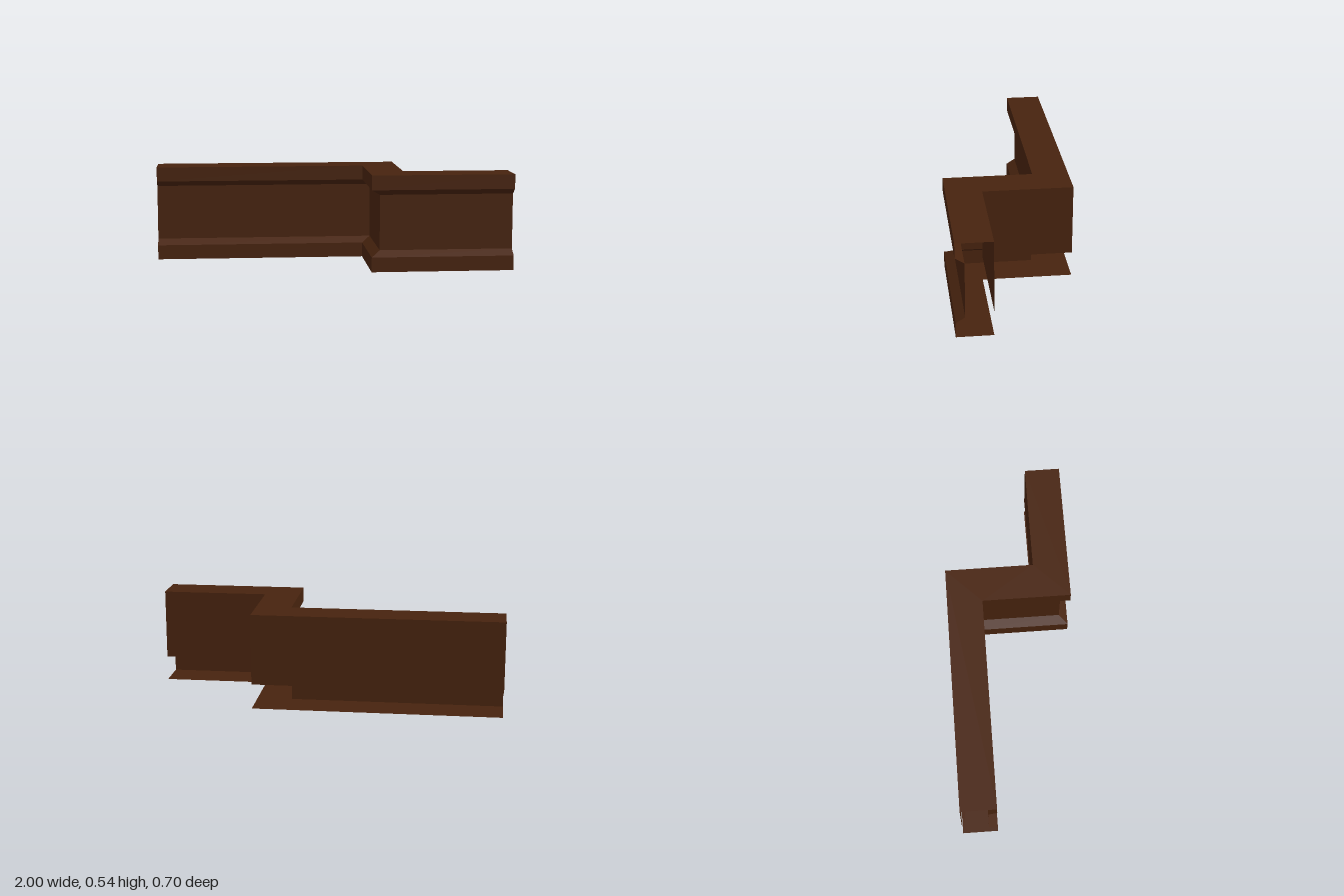
import * as THREE from 'three';

const wood = new THREE.MeshStandardMaterial({ color: 0x47230e, side: THREE.DoubleSide });
wood.name = 'dark brown wood';

// Plan path of the front edge, pushed back by d with mitred corners
const path = (d) => [
  [-1, -0.15 - d], [0.2 + d, -0.15 - d], [0.2 + d, 0.35 - d], [1, 0.35 - d],
];

// Moulding cross-section: [depth behind the front edge, height]
const profile = [
  [0.2, 0], [0, 0], [0, 0.083], [0.05, 0.115], [0.05, 0.427],
  [0, 0.459], [0, 0.541], [0.2, 0.541], [0.2, 0.141],
];
const names = [
  'basePlate', 'lowerBand', 'lowerBevel', 'frontPanel',
  'upperBevel', 'upperBand', 'topPlate', 'backPanel',
];

// One open sheet between two neighbouring profile points, swept along the path
function strip([d0, y0], [d1, y1]) {
  const low = path(d0).map(([x, z]) => [x, y0, z]);
  const high = path(d1).map(([x, z]) => [x, y1, z]);
  const points = [];
  for (let i = 0; i < low.length - 1; i++) {
    const [a, b, c, d] = [low[i], low[i + 1], high[i + 1], high[i]];
    points.push(...a, ...b, ...c, ...a, ...c, ...d);
  }
  const geometry = new THREE.BufferGeometry();
  geometry.setAttribute('position', new THREE.Float32BufferAttribute(points, 3));
  geometry.computeVertexNormals(); // unshared corners keep every face flat
  return geometry;
}

export function createModel() {
  const group = new THREE.Group();
  group.name = 'steppedMoulding';
  names.forEach((name, i) => {
    const mesh = new THREE.Mesh(strip(profile[i], profile[i + 1]), wood);
    mesh.name = name;
    group.add(mesh);
  });
  return group;
}
